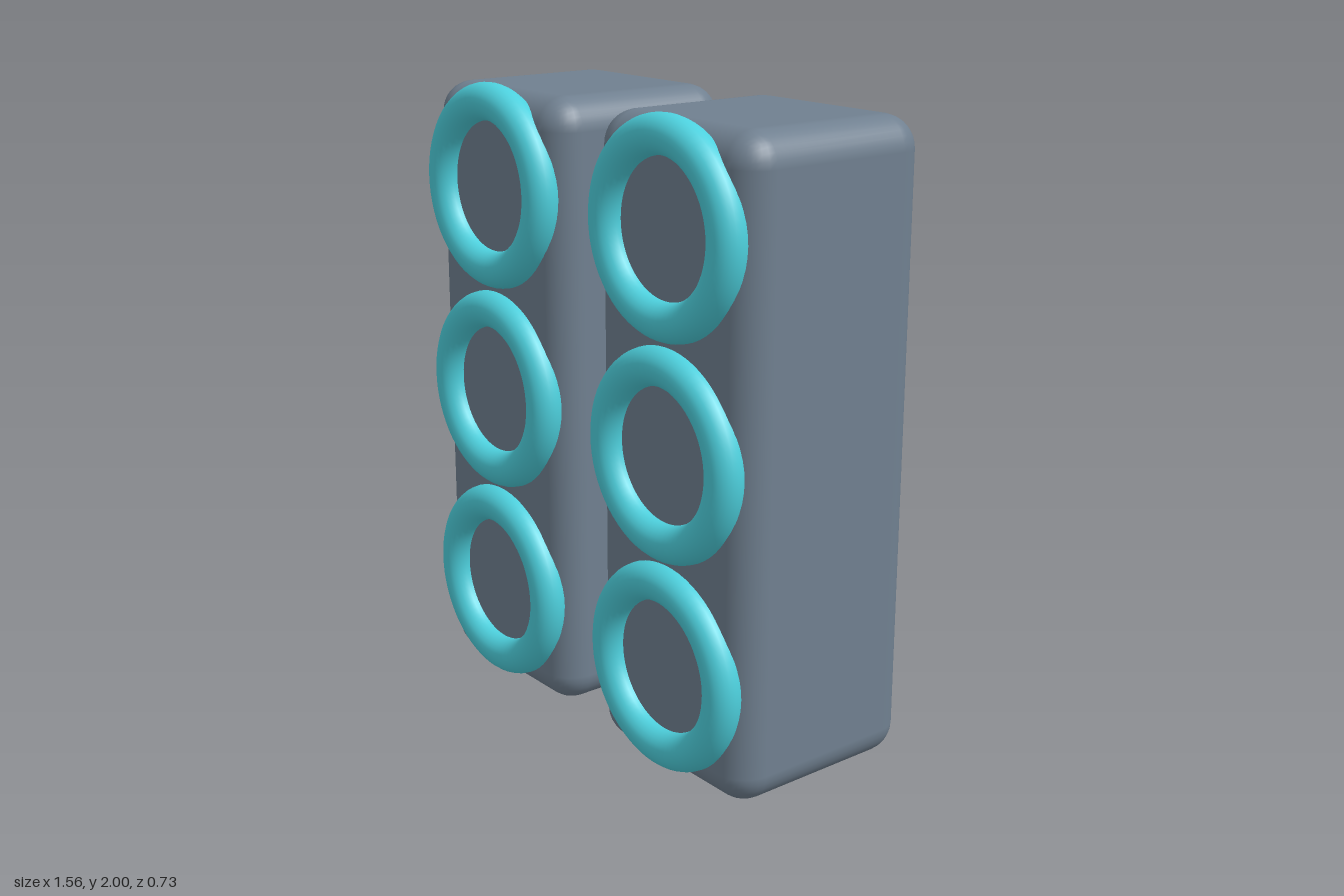
import * as THREE from 'three';
import { RoundedBoxGeometry } from 'three/addons/geometries/RoundedBoxGeometry.js';

export function createModel() {
  const model = new THREE.Group();
  model.name = 'twinRingTowers';

  const bodyMaterial = new THREE.MeshStandardMaterial({ color: 0x708090 });
  const ringMaterial = new THREE.MeshStandardMaterial({ color: 0x4dd0dd });

  const width = 0.695, height = 1.977, depth = 0.673, frontZ = 0.306;
  const bodyGeometry = new RoundedBoxGeometry(width, height, depth, 4, 0.1);
  const ringGeometry = new THREE.TorusGeometry(0.264, 0.059, 24, 64);

  for (const [side, sign] of [['left', 1], ['right', -1]]) {
    const tower = new THREE.Group();
    tower.name = side + 'Tower';
    tower.position.x = sign * 0.433;

    // Rounded upright block
    const body = new THREE.Mesh(bodyGeometry, bodyMaterial);
    body.name = side + 'Body';
    body.position.set(0, height / 2, frontZ - depth / 2);
    tower.add(body);

    // Three rings half sunk into the front face
    ['lower', 'middle', 'upper'].forEach((level, i) => {
      const ring = new THREE.Mesh(ringGeometry, ringMaterial);
      ring.name = side + level[0].toUpperCase() + level.slice(1) + 'Ring';
      ring.position.set(0, 0.355 + i * 0.661, frontZ);
      tower.add(ring);
    });

    model.add(tower);
  }
  return model;
}
